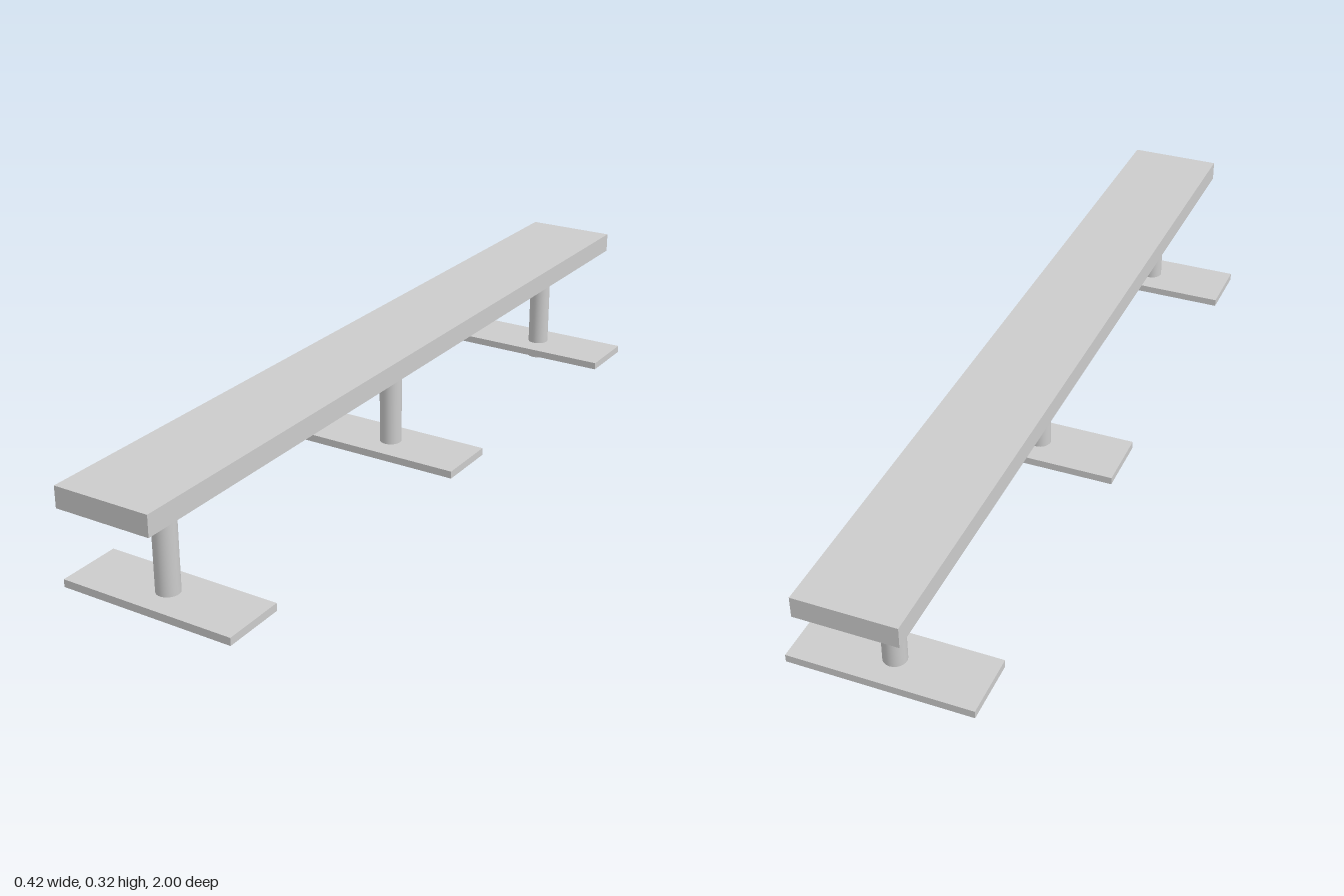
import * as THREE from 'three';

const material = new THREE.MeshStandardMaterial({ color: 0xcccccc });

function addMesh(parent, name, geometry, x, y, z) {
  const mesh = new THREE.Mesh(geometry, material);
  mesh.name = name;
  mesh.position.set(x, y, z);
  parent.add(mesh);
}

export function createModel() {
  const bench = new THREE.Group();
  bench.name = 'bench';

  // Long plank seat
  addMesh(bench, 'seat', new THREE.BoxGeometry(0.226, 0.048, 2), 0, 0.3, 0);

  // Round posts, each passing through a flat foot plate
  const postGeometry = new THREE.CylinderGeometry(0.0265, 0.0265, 0.277, 32);
  const plateGeometry = new THREE.BoxGeometry(0.422, 0.018, 0.152);
  const supports = { front: 0.823, middle: -0.026, back: -0.818 };
  for (const [place, z] of Object.entries(supports)) {
    const support = new THREE.Group();
    support.name = `${place}Support`;
    support.position.z = z;
    addMesh(support, `${place}Post`, postGeometry, -0.001, 0.1385, 0);
    addMesh(support, `${place}FootPlate`, plateGeometry, 0, 0.034, 0);
    bench.add(support);
  }
  return bench;
}
